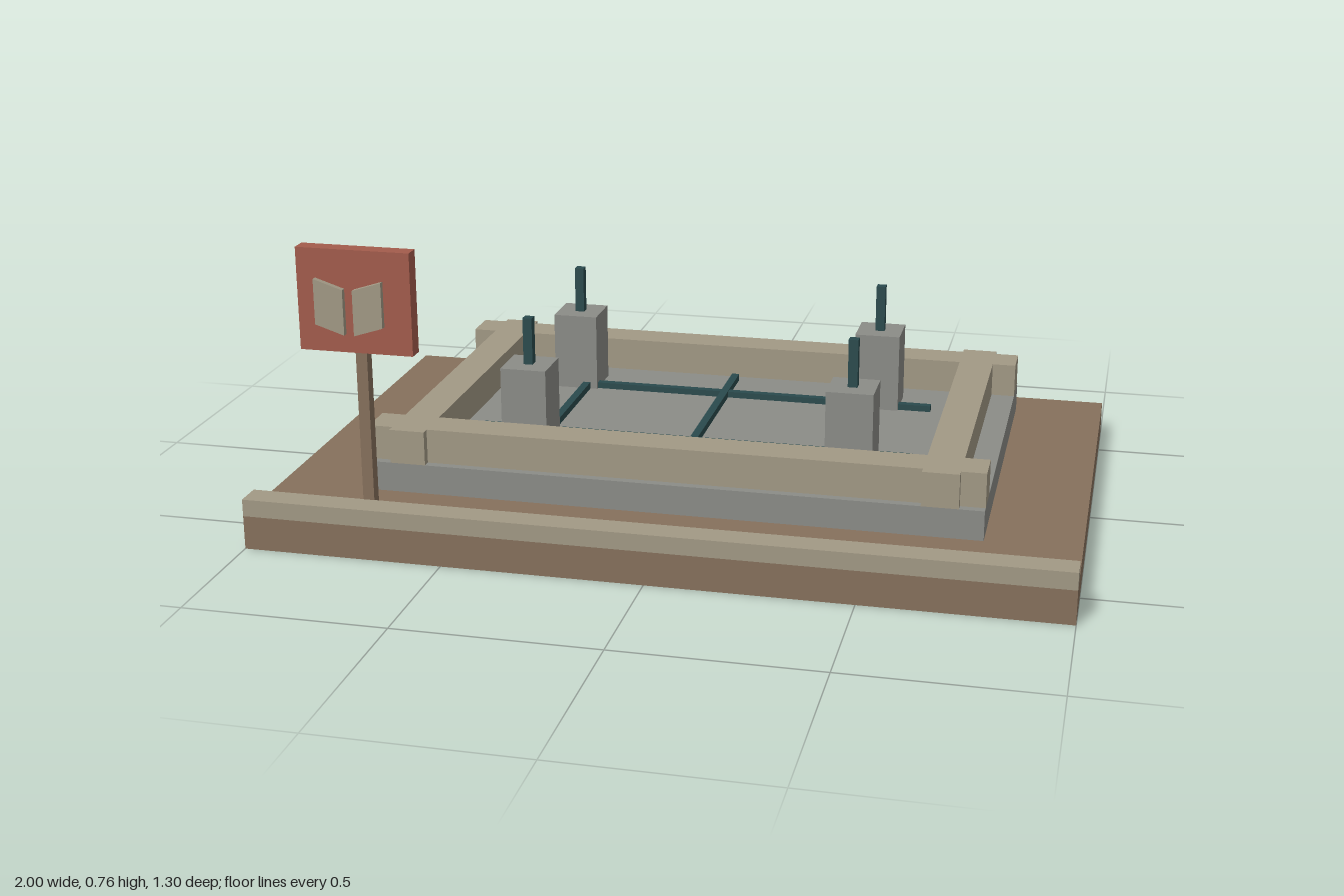
import * as THREE from 'three';

const material = (name, color) => {
  const m = new THREE.MeshStandardMaterial({ color });
  m.name = name;
  return m;
};

export function createModel() {
  const earth = material('earth brown', 0x86705c);
  const timber = material('pale timber', 0xa29985);
  const concrete = material('concrete grey', 0x8b8c87);
  const steel = material('dark steel', 0x2a4a4d);
  const red = material('sign red', 0xa35c4c);

  const model = new THREE.Group();
  model.name = 'foundationSite';

  // Box given by its extents along each axis
  const box = (name, mat, [x0, x1], [y0, y1], [z0, z1], parent = model) => {
    const mesh = new THREE.Mesh(new THREE.BoxGeometry(x1 - x0, y1 - y0, z1 - z0), mat);
    mesh.position.set((x0 + x1) / 2, (y0 + y1) / 2, (z0 + z1) / 2);
    mesh.name = name;
    parent.add(mesh);
    return mesh;
  };
  const around = (c, size) => [c - size / 2, c + size / 2];
  const group = (name) => {
    const g = new THREE.Group();
    g.name = name;
    model.add(g);
    return g;
  };

  // Ground, front curb and foundation slab
  box('ground', earth, [-1, 1], [0, 0.085], [-0.65, 0.65]);
  box('curb', timber, [-1, 1], [0.085, 0.128], [0.582, 0.65]);
  box('slab', concrete, [-0.768, 0.768], [0.085, 0.16], [-0.552, 0.413]);

  // Formwork boards crossing at the corners
  const formwork = group('formwork');
  const boardY = [0.16, 0.247];
  for (const z of [-0.484, 0.345]) {
    box('longBoard', timber, [-0.768, 0.768], boardY, around(z, 0.094), formwork);
  }
  for (const x of [-0.662, 0.662]) {
    // Side boards stop at the long boards; short stubs carry on outside
    box('sideBoard', timber, around(x, 0.09), boardY, [-0.437, 0.298], formwork);
    box('boardEnd', timber, around(x, 0.09), boardY, [-0.552, -0.531], formwork);
    box('boardEnd', timber, around(x, 0.09), boardY, [0.392, 0.413], formwork);
  }

  // Reinforcing mat lying on the slab
  const mat = group('reinforcement');
  for (const z of [-0.267, 0.117]) {
    box('crossBar', steel, [-0.56, 0.56], around(0.166, 0.02), around(z, 0.02), mat);
  }
  for (const x of [-0.385, 0, 0.385]) {
    box('lengthBar', steel, around(x, 0.02), around(0.168, 0.02), [-0.408, 0.267], mat);
  }

  // Four column footings with starter bars
  for (const x of [-0.415, 0.415]) {
    for (const z of [-0.308, 0.172]) {
      const footing = group('footing');
      box('pedestal', concrete, around(x, 0.118), [0.16, 0.365], around(z, 0.118), footing);
      box('starterBar', steel, around(x, 0.024), [0.365, 0.487], around(z, 0.024), footing);
    }
  }

  // Site sign
  const sign = group('sign');
  box('signPost', earth, around(-0.7, 0.028), [0.085, 0.632], [0.554, 0.583], sign);
  box('signBoard', red, [-0.84, -0.56], [0.51, 0.76], [0.571, 0.611], sign);

  // Two slanted pages standing off the board
  for (const side of [-1, 1]) {
    const page = new THREE.Shape([
      [0.012, 0.562], [0.083, 0.585], [0.083, 0.695], [0.012, 0.672],
    ].map(([x, y]) => new THREE.Vector2(side * x, y)));
    const geometry = new THREE.ExtrudeGeometry(page, { depth: 0.014, bevelEnabled: false });
    const mesh = new THREE.Mesh(geometry, timber);
    mesh.position.set(-0.702, 0, 0.632);
    mesh.name = side < 0 ? 'rightPage' : 'leftPage';
    sign.add(mesh);
  }

  return model;
}
